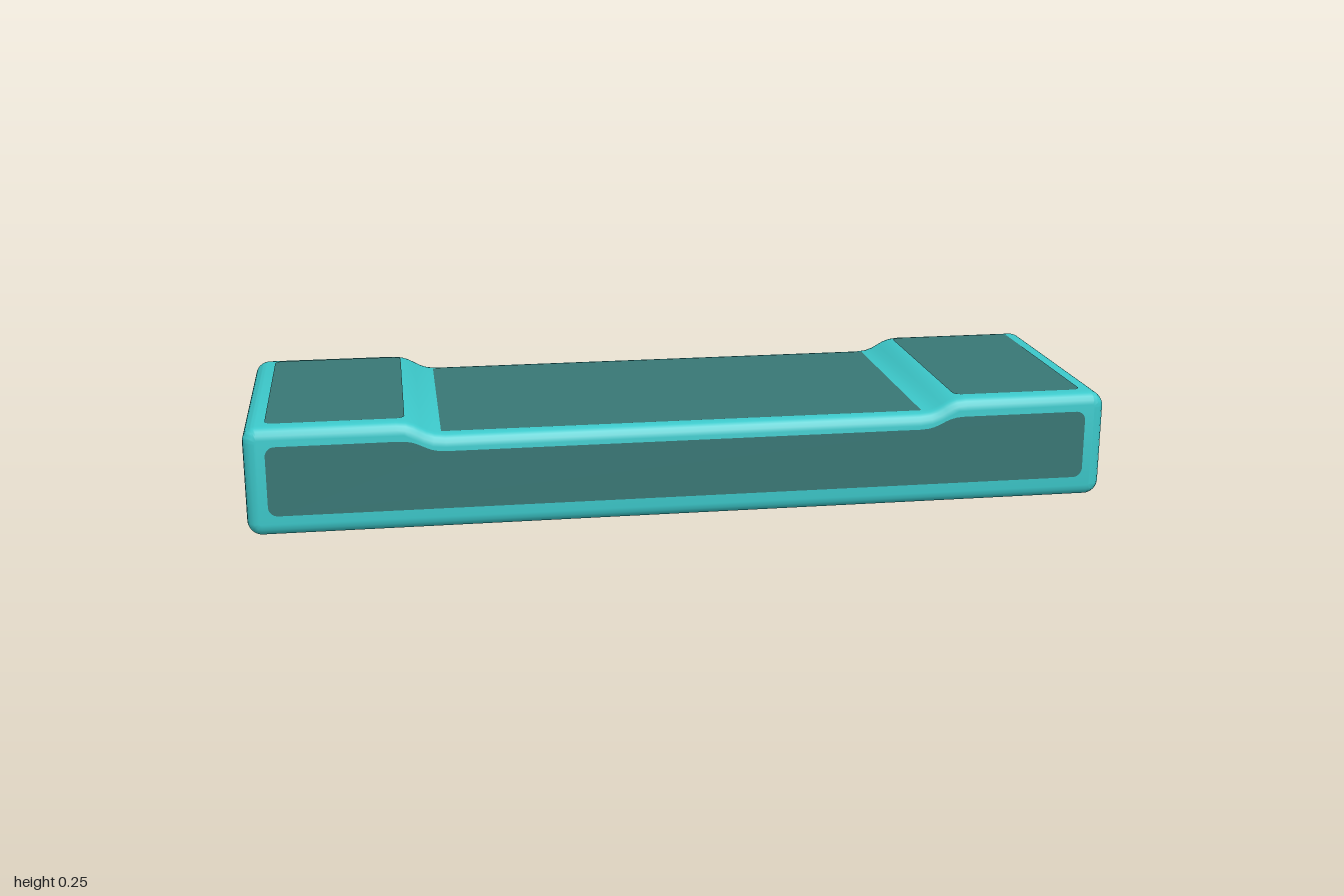
import * as THREE from 'three';
import { toCreasedNormals } from 'three/addons/utils/BufferGeometryUtils.js';

const HALF_X = 0.999, HALF_Z = 0.314, BASE = 0.001, END_TOP = 0.254, MID_TOP = 0.221;

// Side outline: raised ends joined to a lower middle by S-shaped steps
function outline(hx, bottom, endTop, midTop, r, stepOut, stepIn) {
  const s = new THREE.Shape();
  const mid = (stepOut + stepIn) / 2;
  s.moveTo(-hx + r, bottom);
  s.lineTo(hx - r, bottom);
  s.absarc(hx - r, bottom + r, r, -Math.PI / 2, 0);
  s.lineTo(hx, endTop - r);
  s.absarc(hx - r, endTop - r, r, 0, Math.PI / 2);
  s.lineTo(stepOut, endTop);
  s.bezierCurveTo(mid, endTop, mid, midTop, stepIn, midTop);
  s.lineTo(-stepIn, midTop);
  s.bezierCurveTo(-mid, midTop, -mid, endTop, -stepOut, endTop);
  s.lineTo(-hx + r, endTop);
  s.absarc(-hx + r, endTop - r, r, Math.PI / 2, Math.PI);
  s.lineTo(-hx, bottom + r);
  s.absarc(-hx + r, bottom + r, r, Math.PI, Math.PI * 1.5);
  return s;
}

// Rounded rectangle centred on the origin
function roundedRect(w, h, r) {
  const s = new THREE.Shape(), x = w / 2 - r, y = h / 2 - r;
  s.absarc(x, y, r, 0, Math.PI / 2);
  s.absarc(-x, y, r, Math.PI / 2, Math.PI);
  s.absarc(-x, -y, r, Math.PI, Math.PI * 1.5);
  s.absarc(x, -y, r, Math.PI * 1.5, Math.PI * 2);
  s.closePath();
  return s;
}

export function createModel() {
  const model = new THREE.Group();
  model.name = 'steppedBar';
  const trim = new THREE.MeshStandardMaterial({ color: 0x3cc8ca });
  trim.name = 'bright teal';
  const panel = new THREE.MeshStandardMaterial({ color: 0x387775 });
  panel.name = 'dark teal';

  const add = (name, geometry, material, pos = [0, 0, 0], rot = [0, 0, 0]) => {
    const mesh = new THREE.Mesh(geometry, material);
    mesh.name = name;
    mesh.position.set(...pos);
    mesh.rotation.set(...rot);
    model.add(mesh);
  };

  // Body with softened edges
  const bevel = 0.027;
  const body = new THREE.ExtrudeGeometry(
    outline(HALF_X, BASE, END_TOP, MID_TOP, 0.034, 0.66, 0.55),
    {
      depth: 2 * (HALF_Z - bevel), bevelEnabled: true, bevelSize: bevel,
      bevelThickness: bevel, bevelOffset: -bevel, bevelSegments: 4, curveSegments: 6,
    });
  body.translate(0, 0, -(HALF_Z - bevel));
  add('body', toCreasedNormals(body, 0.7), trim);

  // Front and back panels follow the stepped outline
  const face = new THREE.ShapeGeometry(outline(0.95, 0.05, 0.212, 0.185, 0.022, 0.655, 0.55), 8);
  add('frontPanel', face, panel, [0, 0, HALF_Z + 0.001]);
  add('backPanel', face, panel, [0, 0, -HALF_Z - 0.001], [0, Math.PI, 0]);

  // End and raised top panels, mirrored
  const endPanel = new THREE.ShapeGeometry(roundedRect(0.57, 0.174, 0.03), 6);
  const raisedPanel = new THREE.ShapeGeometry(roundedRect(0.31, 0.555, 0.02), 6);
  for (const side of [1, -1]) {
    const label = side > 0 ? 'left' : 'right';
    add(label + 'EndPanel', endPanel, panel,
      [side * (HALF_X + 0.001), 0.134, 0.003], [0, side * Math.PI / 2, 0]);
    add(label + 'RaisedPanel', raisedPanel, panel,
      [side * 0.795, END_TOP + 0.001, -0.003], [-Math.PI / 2, 0, 0]);
  }

  // Middle top panel and underside
  add('middlePanel', new THREE.ShapeGeometry(roundedRect(1.16, 0.56, 0.02), 6), panel,
    [0, MID_TOP + 0.001, 0], [-Math.PI / 2, 0, 0]);
  add('bottomPanel', new THREE.ShapeGeometry(roundedRect(1.91, 0.56, 0.02), 6), panel,
    [0, BASE - 0.001, 0], [Math.PI / 2, 0, 0]);

  return model;
}
